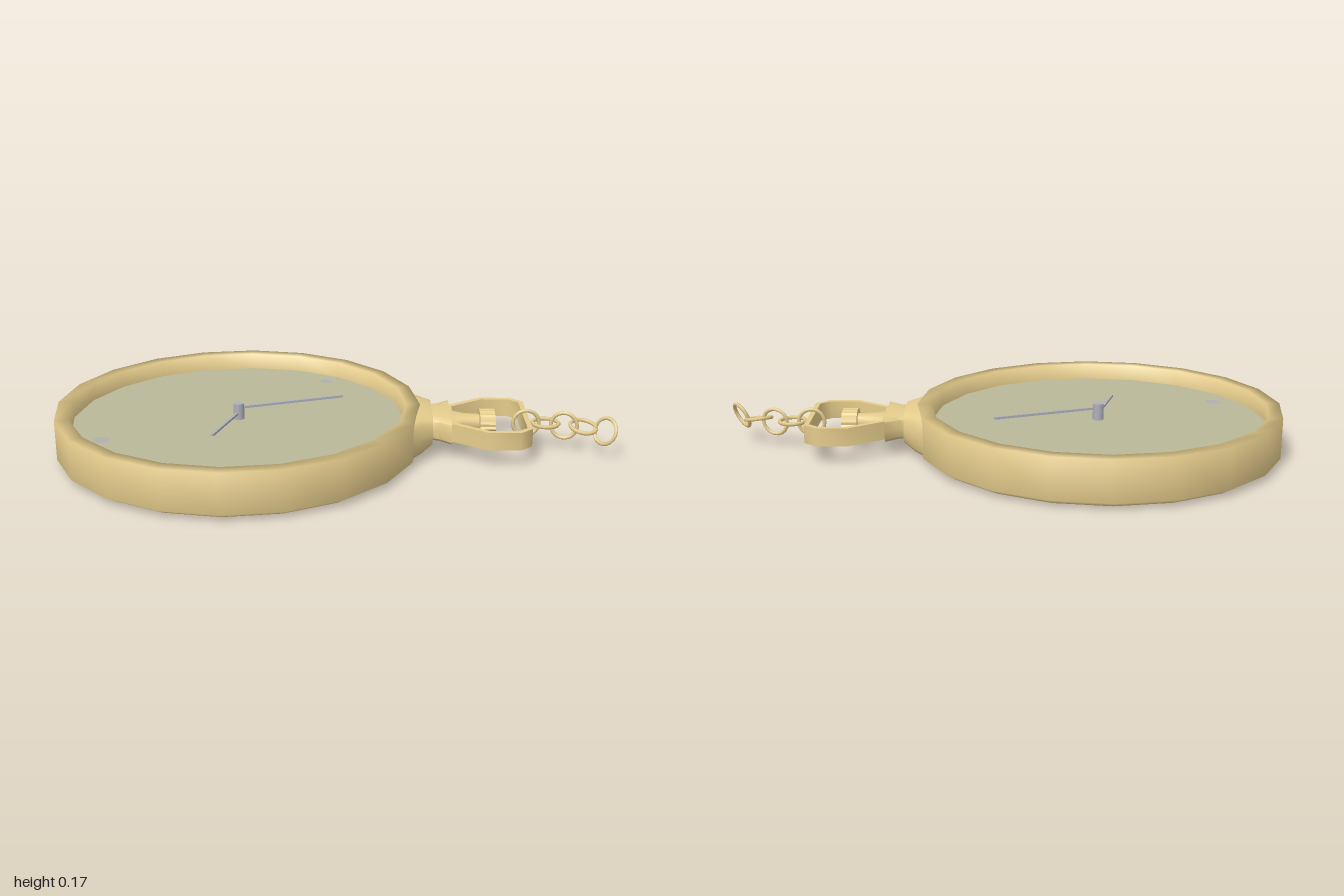
import * as THREE from 'three';
import { toCreasedNormals } from 'three/addons/utils/BufferGeometryUtils.js';

const CX = -0.345; // centre of the case

const material = (name, color) => {
  const m = new THREE.MeshStandardMaterial({ color });
  m.name = name;
  return m;
};

// Rounded-box cross-sections [x, half width, centre y, half height] joined along x
function loftX(sections, power = 0.45, n = 16) {
  const pos = [], idx = [];
  const bend = v => Math.sign(v) * Math.pow(Math.abs(v), power);
  for (const [x, hz, cy, hy] of sections) {
    for (let j = 0; j < n; j++) {
      const t = (j / n) * Math.PI * 2;
      pos.push(x, cy + hy * bend(Math.sin(t)), hz * bend(Math.cos(t)));
    }
  }
  for (let i = 0; i < sections.length - 1; i++) {
    for (let j = 0; j < n; j++) {
      const k = (j + 1) % n;
      const a = i * n + j, b = i * n + k, c = a + n, d = b + n;
      idx.push(a, c, b, b, c, d);
    }
  }
  const g = new THREE.BufferGeometry();
  g.setAttribute('position', new THREE.Float32BufferAttribute(pos, 3));
  g.setIndex(idx);
  return toCreasedNormals(g, 0.7);
}

export function createModel() {
  const group = new THREE.Group();
  const gold = material('gold', 0xe5cc8c);
  const dialPaint = material('dial', 0xbab899);
  const steel = material('steel', 0xb0b0bb);
  const dark = material('grey back', 0x949494);
  const spotPaint = material('dial spot', 0xafafac);

  const add = (name, geometry, mat, x = 0, y = 0, z = 0) => {
    const mesh = new THREE.Mesh(geometry, mat);
    mesh.name = name;
    mesh.position.set(x, y, z);
    group.add(mesh);
    return mesh;
  };

  // Twenty-sided case with a raised rim and a recessed dial
  const profile = [[0.622, 0.002], [0.655, 0.022], [0.655, 0.167], [0.605, 0.167], [0.6, 0.1]]
    .map(p => new THREE.Vector2(...p));
  add('case', new THREE.LatheGeometry(profile, 20), gold, CX);
  add('dial', new THREE.CircleGeometry(0.604, 20).rotateX(-Math.PI / 2), dialPaint, CX, 0.108);
  add('backPlate', new THREE.CircleGeometry(0.623, 20).rotateX(Math.PI / 2), dark, CX, 0.001);
  for (const [x, z, r] of [[-0.8, 0.23, 0.03], [-0.04, -0.43, 0.024]]) {
    add('dialSpot', new THREE.CircleGeometry(r, 10).rotateX(-Math.PI / 2), spotPaint, x, 0.1095, z);
  }

  // Hands and the pin that carries them
  add('handPin', new THREE.CylinderGeometry(0.02, 0.02, 0.059, 10), steel, CX, 0.1375);
  const hand = (name, dx, dz, y) => {
    const length = Math.hypot(dx, dz);
    const mesh = add(name, new THREE.BoxGeometry(length, 0.008, 0.01), steel, CX + dx / 2, y, dz / 2);
    mesh.rotation.y = -Math.atan2(dz, dx);
  };
  hand('minuteHand', 0.375, -0.135, 0.15);
  hand('hourHand', -0.07, 0.235, 0.132);

  // Neck flaring out of the case, then the collar and stem
  add('neck', loftX([
    [0.272, 0.2, 0.086, 0.079], [0.31, 0.155, 0.09, 0.074],
    [0.352, 0.122, 0.1, 0.055], [0.353, 0, 0.1, 0],
  ]), gold);
  add('collar', loftX([
    [0.34, 0.09, 0.1, 0.046], [0.375, 0.098, 0.1, 0.048],
    [0.418, 0.135, 0.1, 0.05], [0.419, 0, 0.1, 0],
  ]), gold);
  add('stem', loftX([
    [0.415, 0.085, 0.1, 0.032], [0.47, 0.04, 0.1, 0.03], [0.535, 0.03, 0.1, 0.028],
  ], 0.8), gold);

  // Ridged winding crown
  const gear = new THREE.Shape();
  const teeth = 18;
  for (let i = 0; i < teeth * 2; i++) {
    const a = (i / (teeth * 2)) * Math.PI * 2;
    const r = i % 2 ? 0.94 : 1;
    const x = 0.07 * r * Math.cos(a), y = 0.05 * r * Math.sin(a);
    if (i) gear.lineTo(x, y); else gear.moveTo(x, y);
  }
  gear.closePath();
  const crown = new THREE.ExtrudeGeometry(gear, { depth: 0.055, bevelEnabled: false });
  add('crown', crown.rotateY(Math.PI / 2), gold, 0.525, 0.097);

  // Bow: a flat band bent around the crown
  const mirrored = half => [...half.map(([x, y]) => [x, -y]), ...half.slice().reverse()]
    .map(p => new THREE.Vector2(...p));
  const bow = new THREE.Shape(mirrored([[0.415, 0.1], [0.54, 0.186], [0.655, 0.186], [0.7, 0.145]]));
  bow.holes.push(new THREE.Path(mirrored([[0.43, 0.085], [0.548, 0.168], [0.646, 0.168], [0.682, 0.136]])));
  const bowGeometry = new THREE.ExtrudeGeometry(bow, { depth: 0.066, bevelEnabled: false });
  add('bow', toCreasedNormals(bowGeometry.rotateX(-Math.PI / 2), 0.9), gold, 0, 0.063);

  // Chain links: centre, then the direction each ring faces
  const links = [
    [[0.695, 0.098, 0], [0, 0, 1]],
    [[0.765, 0.1, 0.005], [0, 1, 0]],
    [[0.83, 0.095, 0.016], [-0.28, 0.05, 1]],
    [[0.895, 0.1, 0.04], [0.1, 1, 0.2]],
    [[0.965, 0.1, 0.085], [0.7, -0.35, -0.55]],
  ];
  for (const [centre, normal] of links) {
    const link = add('chainLink', new THREE.TorusGeometry(0.047, 0.007, 6, 18), gold, ...centre);
    link.quaternion.setFromUnitVectors(
      new THREE.Vector3(0, 0, 1), new THREE.Vector3(...normal).normalize());
  }
  return group;
}
